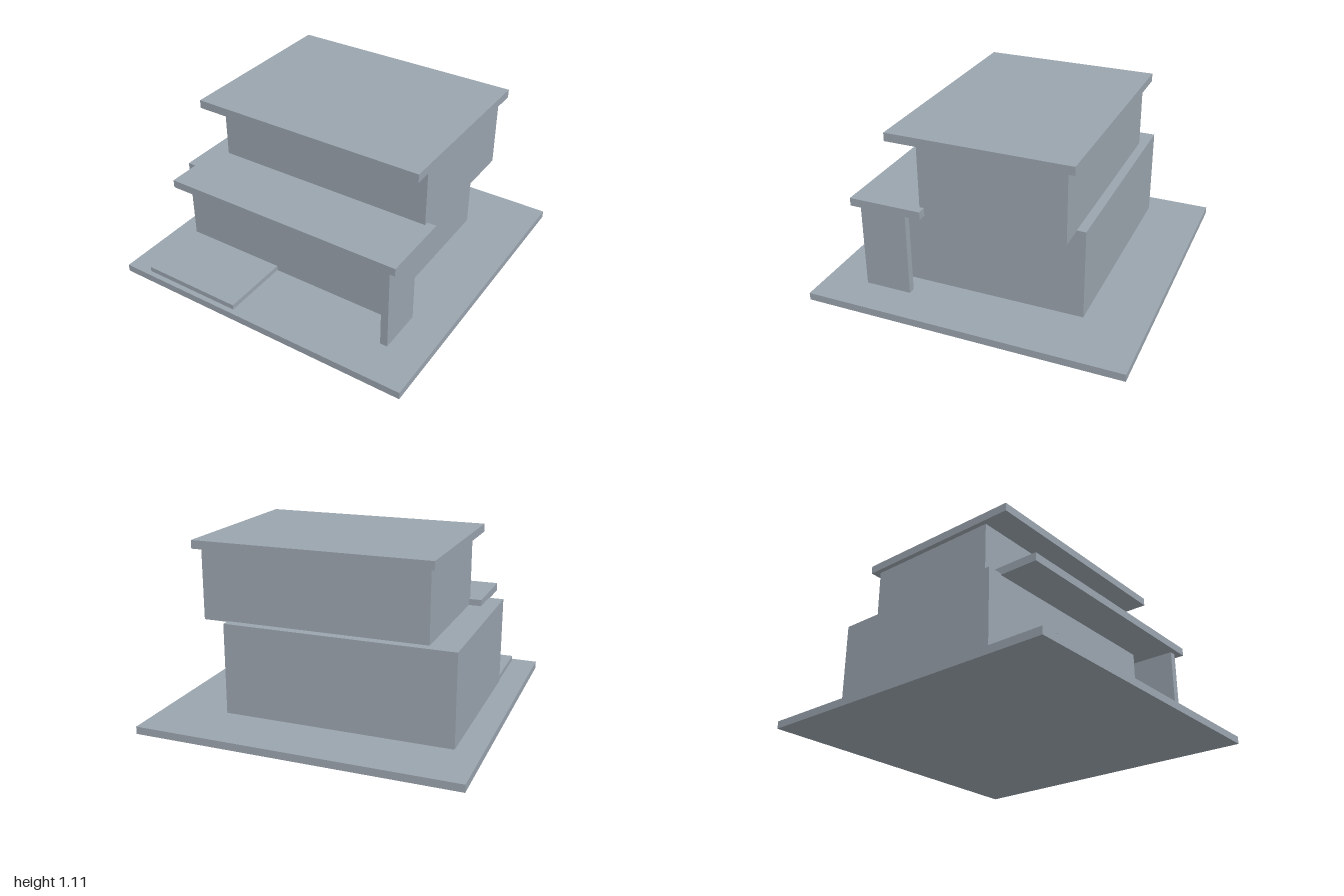
import * as THREE from 'three';

export function createModel() {
  const model = new THREE.Group();
  model.name = 'house';
  const grey = new THREE.MeshStandardMaterial({ color: 0x9aa4ae });
  grey.name = 'concrete grey';

  // Box given by its extents along each axis
  function block(name, [x0, x1], [y0, y1], [z0, z1]) {
    const mesh = new THREE.Mesh(new THREE.BoxGeometry(x1 - x0, y1 - y0, z1 - z0), grey);
    mesh.position.set((x0 + x1) / 2, (y0 + y1) / 2, (z0 + z1) / 2);
    mesh.name = name;
    model.add(mesh);
  }

  // Ground and entrance paving
  block('groundSlab', [-1, 1], [0, 0.047], [-1, 1]);
  block('terrace', [-0.835, -0.17], [0.047, 0.08], [0.52, 0.967]);

  // Ground floor, with its canopy held up by a fin wall
  block('lowerStorey', [-0.84, 0.6], [0.047, 0.62], [-0.62, 0.523]);
  block('canopy', [-0.743, 0.817], [0.61, 0.66], [0.308, 0.767]);
  block('finWall', [0.718, 0.765], [0.047, 0.61], [0.437, 0.733]);

  // Upper floor, overhanging on the left, and its flat roof
  block('upperStorey', [-0.663, 0.76], [0.615, 1.06], [-0.563, 0.337]);
  block('roof', [-0.695, 0.797], [1.06, 1.112], [-0.613, 0.517]);

  return model;
}
